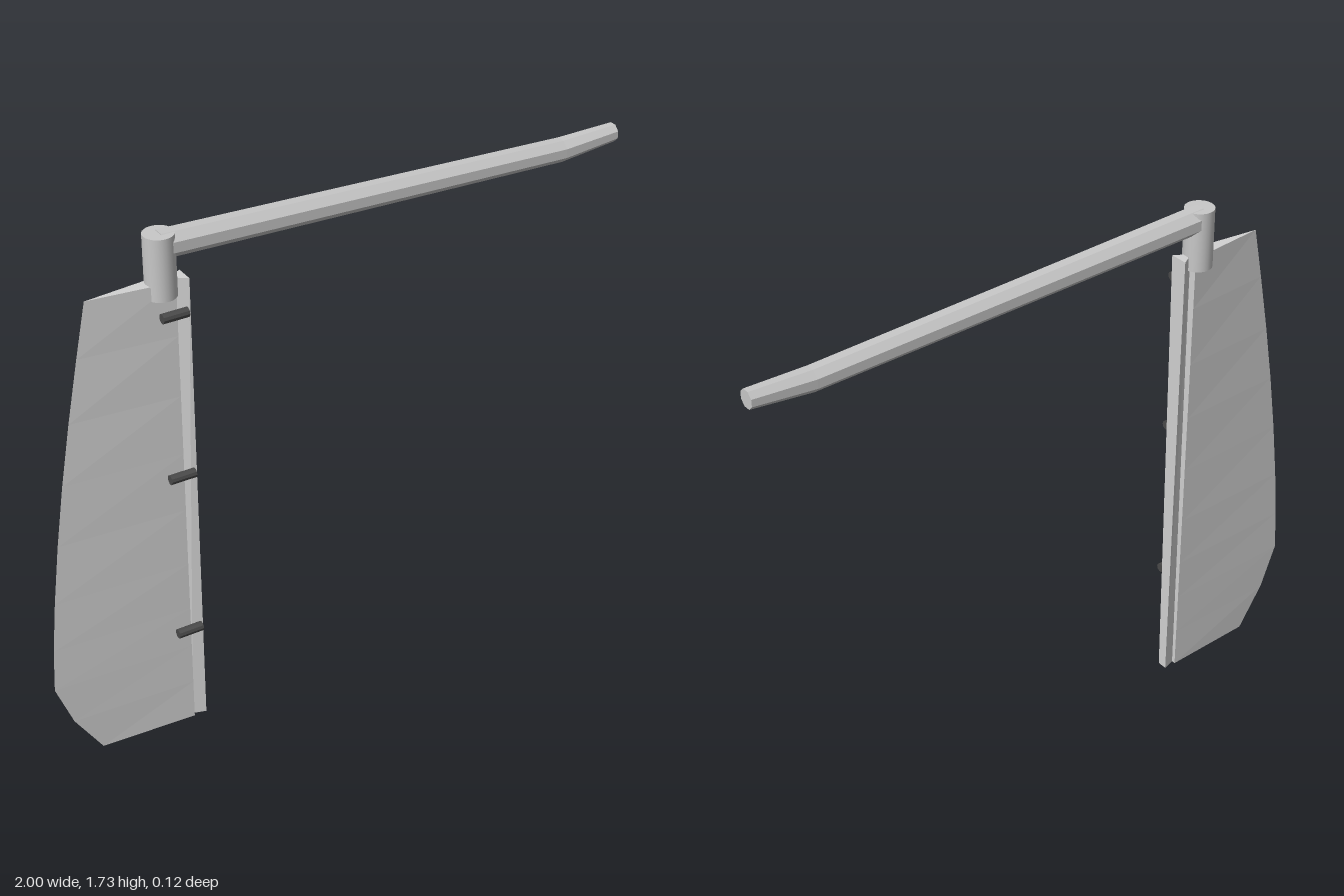
import * as THREE from 'three';

const Z0 = -0.009; // shared centre plane of stock, blade and tiller

const mat = (name, color) => {
  const m = new THREE.MeshStandardMaterial({ color });
  m.name = name;
  return m;
};

// Joins convex sections (counterclockwise seen from the last one) and caps both ends
function loft(sections) {
  const pos = [];
  const tri = (...pts) => pts.forEach(p => pos.push(...p));
  const n = sections[0].length, first = sections[0], last = sections[sections.length - 1];
  for (let j = 0; j < sections.length - 1; j++) {
    for (let i = 0; i < n; i++) {
      const k = (i + 1) % n;
      const a = sections[j][i], b = sections[j][k], c = sections[j + 1][k], d = sections[j + 1][i];
      tri(a, b, c);
      tri(a, c, d);
    }
  }
  for (let i = 1; i < n - 1; i++) {
    tri(last[0], last[i], last[i + 1]);
    tri(first[0], first[i + 1], first[i]);
  }
  const g = new THREE.BufferGeometry();
  g.setAttribute('position', new THREE.Float32BufferAttribute(pos, 3));
  g.computeVertexNormals();
  return g;
}

export function createModel() {
  const group = new THREE.Group();
  group.name = 'rudder';
  const bladeGrey = mat('blade grey', 0xd2d2d2);
  const metalGrey = mat('metal grey', 0xc8c8c8);
  const darkGrey = mat('dark grey', 0x4a4a4a);
  const add = (name, geometry, material) => {
    const m = new THREE.Mesh(geometry, material);
    m.name = name;
    group.add(m);
    return m;
  };

  // Blade: a wedge narrowing to a curved trailing edge, thicker towards the top
  const outline = [[0, -0.855], [0.14, -0.945], [0.285, -1], [0.43, -0.992], [0.6, -0.975],
    [0.8, -0.95], [1, -0.92], [1.2, -0.885], [1.4, -0.846], [1.575, -0.81]];
  const half = y => 0.017 + 0.013 * y / 1.575;
  const hingeX = -0.542, leadX = -0.5;
  add('blade', loft(outline.map(([y, x]) => [
    [x, y, Z0 - 0.002],
    [hingeX, y, Z0 + half(y)],
    [hingeX, y, Z0 - half(y)],
  ])), bladeGrey);

  // Leading post: flares forward from a narrow neck
  add('leadingPost', loft([0, 1.575].map(y => [
    [hingeX, y, Z0 + 0.004],
    [leadX, y, Z0 + half(y)],
    [leadX, y, Z0 - half(y)],
    [hingeX, y, Z0 - 0.004],
  ])), bladeGrey);

  // Upright stock at the head
  add('stock', new THREE.CylinderGeometry(0.047, 0.047, 0.195, 24), metalGrey)
    .position.set(-0.575, 1.6265, Z0);

  // Tiller: octagonal bar, tapered and slightly raised at the grip end
  const stations = [[-0.575, 1.687, 0.043], [0.8, 1.64, 0.038], [1, 1.652, 0.03]];
  add('tiller', loft(stations.map(([x, y, r]) => Array.from({ length: 8 }, (_, i) => {
    const a = (i + 0.5) * Math.PI / 4;
    return [x, y + r * Math.sin(a), Z0 - r * Math.cos(a)];
  }))), metalGrey);

  // Three hinge pins beside the blade
  for (const y of [0.377, 0.945, 1.485]) {
    const pin = add('hingePin', new THREE.CylinderGeometry(0.0155, 0.0155, 0.082, 10).toNonIndexed(), darkGrey);
    pin.geometry.computeVertexNormals();
    pin.rotation.z = Math.PI / 2;
    pin.position.set(-0.562, y, 0.044);
  }
  return group;
}
